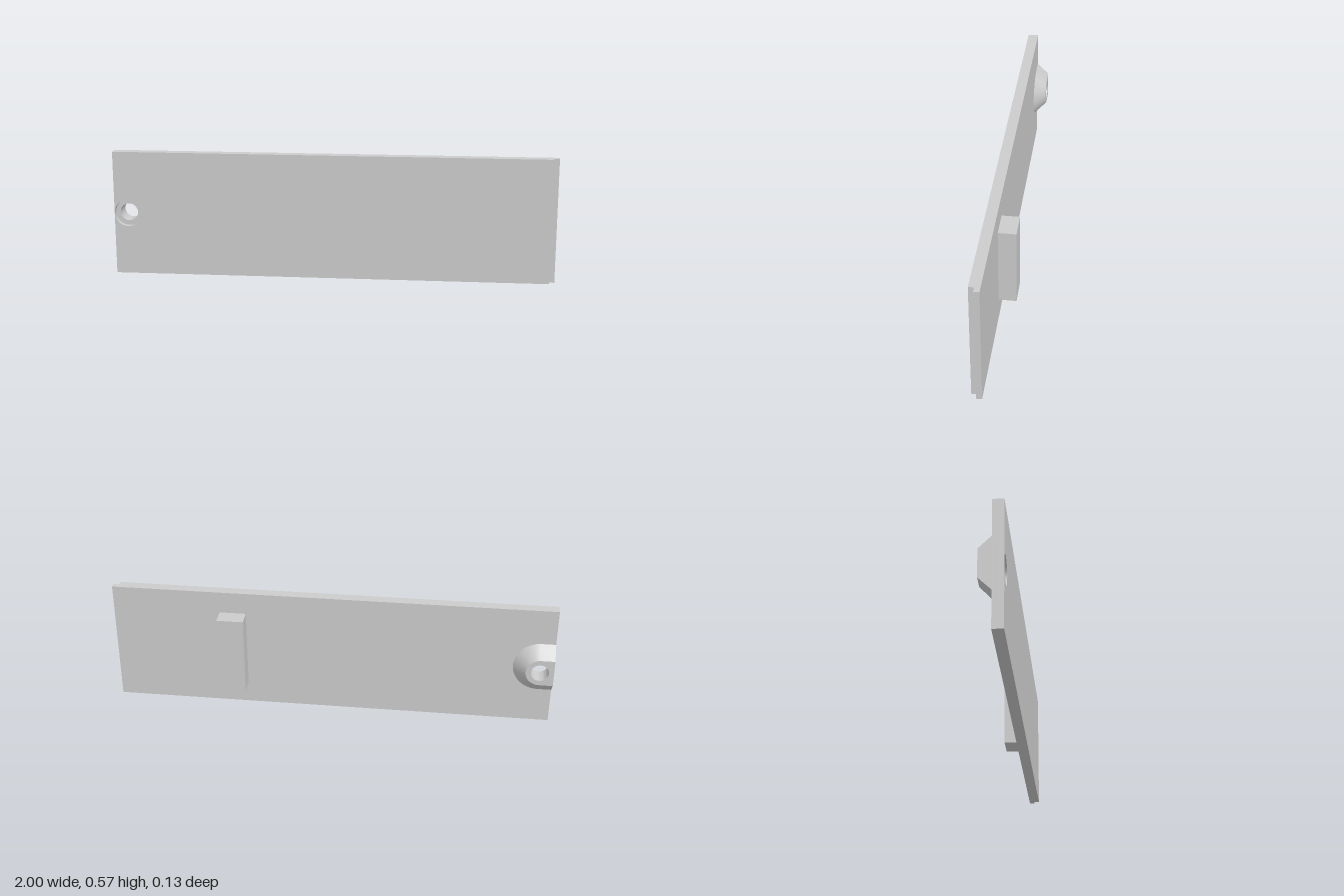
import * as THREE from 'three';
import { toCreasedNormals } from 'three/addons/utils/BufferGeometryUtils.js';

const H = 0.567;                       // panel height
const CX = -0.9375, CY = 0.2835;       // screw hole axis
const Z_BACK = 0.015, Z_STEP = 0.039, Z_FRONT = 0.063;
const material = new THREE.MeshStandardMaterial({ color: 0xcccccc });

// Extrudes a shape between two z values, with a round hole on the screw axis
function drilled(shape, holeRadius, z0, z1) {
  const hole = new THREE.Path();
  hole.absarc(CX, CY, holeRadius, 0, Math.PI * 2, true);
  shape.holes.push(hole);
  const geo = new THREE.ExtrudeGeometry(shape, { depth: z1 - z0, bevelEnabled: false, curveSegments: 32 });
  return geo.translate(0, 0, z0);
}

function rectangle(x0, x1) {
  return new THREE.Shape([[x0, 0], [x1, 0], [x1, H], [x0, H]].map(([x, y]) => new THREE.Vector2(x, y)));
}

// U-shaped boss whose base flares out where it meets the panel
function bossGeometry() {
  const r = 0.063, flare = 0.118 / r;
  const shape = new THREE.Shape();
  shape.moveTo(-1, CY - r);
  shape.lineTo(CX, CY - r);
  shape.absarc(CX, CY, r, -Math.PI / 2, Math.PI / 2, false);
  shape.lineTo(-1, CY + r);
  const geo = drilled(shape, 0.04, -0.04, Z_BACK);
  const p = geo.attributes.position;
  for (let i = 0; i < p.count; i++) {
    const dx = p.getX(i) - CX, dy = p.getY(i) - CY;
    if (p.getZ(i) < Z_BACK - 0.01 || Math.hypot(dx, dy) < 0.05) continue;
    p.setY(i, CY + dy * flare);
    if (dx > 0) p.setX(i, CX + dx * flare);
  }
  return geo;
}

export function createModel() {
  const group = new THREE.Group();
  const add = (name, geo) => {
    const mesh = new THREE.Mesh(toCreasedNormals(geo, 0.5), material);
    mesh.name = name;
    group.add(mesh);
  };

  // Back layer reaches past the front layer to form the edge lip
  add('backLayerWithLip', drilled(rectangle(-1, 1), 0.04, Z_BACK, Z_STEP));
  // Front layer holds the counterbore for the screw head
  add('frontLayer', drilled(rectangle(-1, 0.975), 0.0615, Z_STEP, Z_FRONT));
  add('screwBoss', bossGeometry());

  // Upright block on the back
  const block = new THREE.BoxGeometry(0.12, 0.363, 0.078);
  block.translate(0.45, 0.2845, Z_BACK - 0.039);
  add('backBlock', block);

  return group;
}
